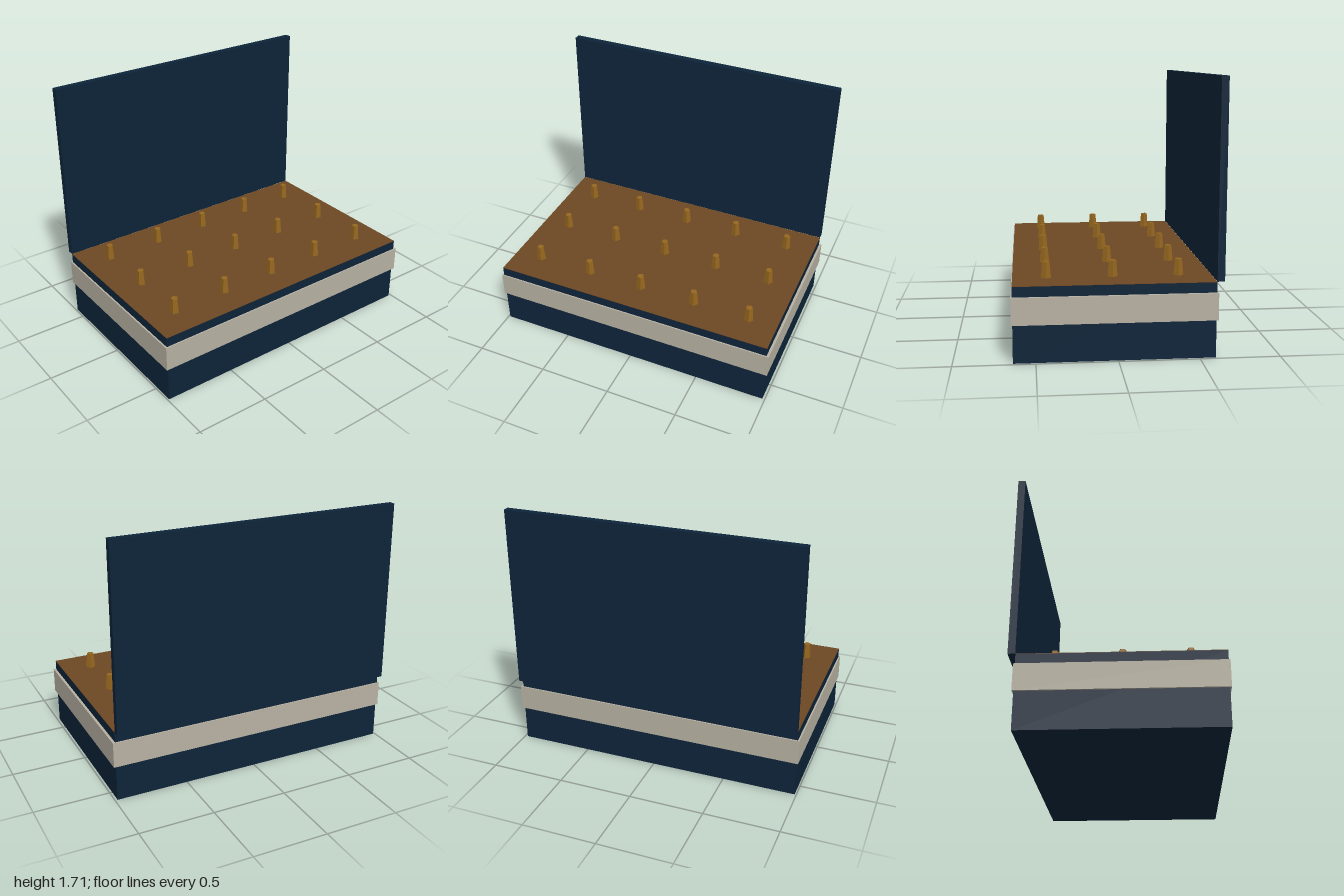
import * as THREE from 'three';

const paint = (name, color) => {
  const m = new THREE.MeshStandardMaterial({ color });
  m.name = name;
  return m;
};

export function createModel() {
  const navy = paint('navy', 0x0d2439);
  const stone = paint('stone', 0xb7b1a2);
  const brown = paint('brown', 0x6d4723);
  const ochre = paint('ochre', 0x95661f);
  ochre.flatShading = true;

  const model = new THREE.Group();
  model.name = 'openBox';

  // Box spanning the given x, y and z ranges
  const block = (name, material, [x0, x1], [y0, y1], [z0, z1]) => {
    const mesh = new THREE.Mesh(new THREE.BoxGeometry(x1 - x0, y1 - y0, z1 - z0), material);
    mesh.position.set((x0 + x1) / 2, (y0 + y1) / 2, (z0 + z1) / 2);
    mesh.name = name;
    model.add(mesh);
  };

  const width = [-0.989, 0.983];
  const depth = [-0.6, 0.638];
  const top = 0.477;

  // Case, trim band, inner surface and upright lid
  block('case', navy, width, [0, top - 0.003], depth);
  block('band', stone, [-1, 1], [0.24, 0.41], [-0.609, 0.647]);
  block('surface', brown, width, [top - 0.003, top], depth);
  block('lid', navy, width, [top, 1.712], [-0.647, -0.601]);

  // Grid of five-sided tapered pegs
  const pegGeometry = new THREE.CylinderGeometry(0.024, 0.033, 0.103, 5);
  pegGeometry.rotateY(Math.PI / 2);
  const pegs = new THREE.Group();
  pegs.name = 'pegs';
  for (let row = -1; row <= 1; row++) {
    for (let col = -2; col <= 2; col++) {
      const peg = new THREE.Mesh(pegGeometry, ochre);
      peg.name = 'peg';
      peg.position.set(-0.004 + col * 0.394, top + 0.0515, 0.018 + row * 0.412);
      pegs.add(peg);
    }
  }
  model.add(pegs);

  return model;
}
